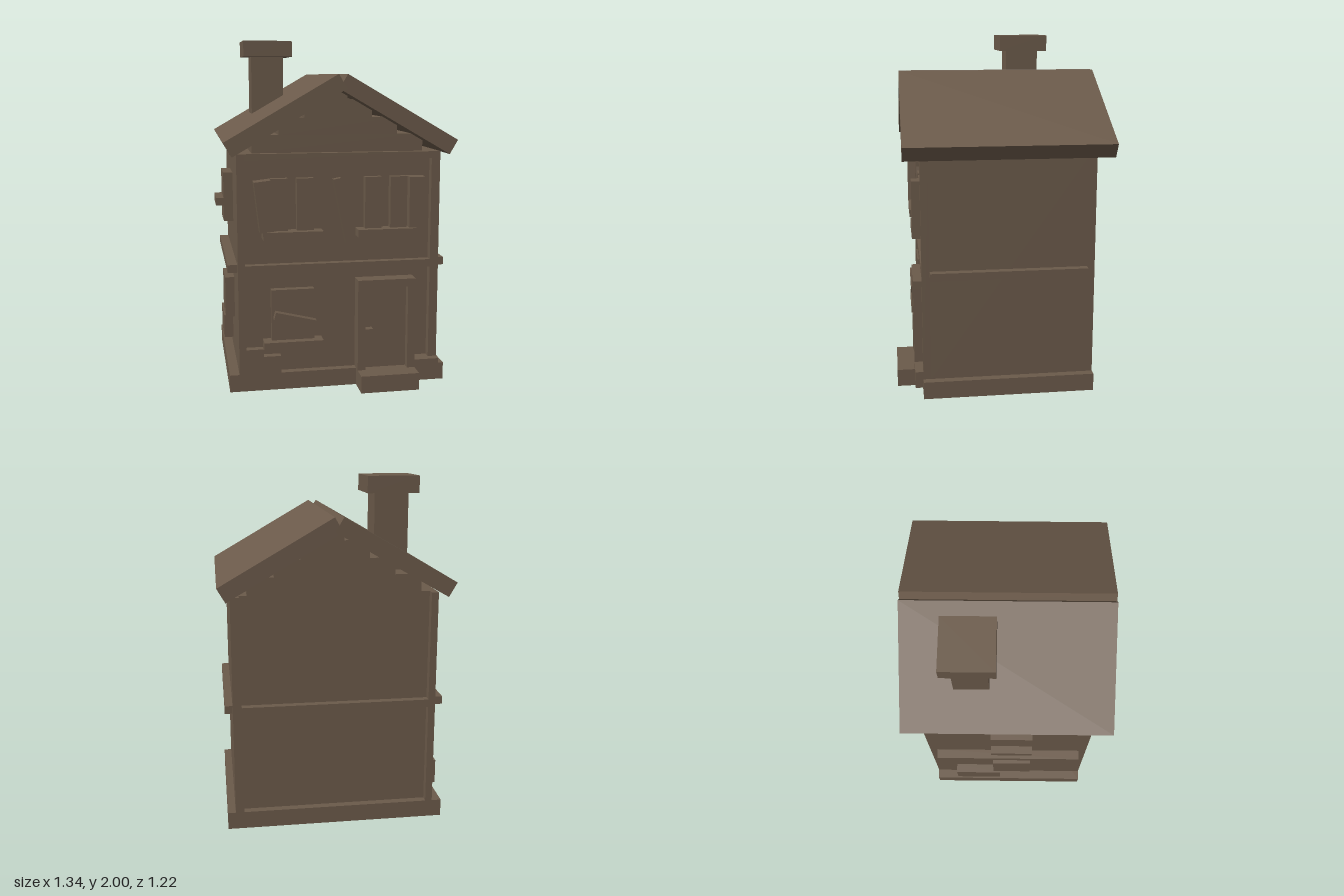
import * as THREE from 'three';

export function createModel() {
  const house = new THREE.Group();
  house.name = 'house';
  const brown = new THREE.MeshStandardMaterial({ color: 0x6b5a4a });
  brown.name = 'weathered brown';

  // Box from its extents on each axis, optionally turned about z
  function block(name, x0, x1, y0, y1, z0, z1, turn = 0) {
    const mesh = new THREE.Mesh(new THREE.BoxGeometry(x1 - x0, y1 - y0, z1 - z0), brown);
    mesh.position.set((x0 + x1) / 2, (y0 + y1) / 2, (z0 + z1) / 2);
    mesh.rotation.z = turn;
    mesh.name = name;
    house.add(mesh);
    return mesh;
  }

  const L = -0.57, R = 0.595, F = 0.465, B = -0.51; // timber frame
  const WF = 0.42, WB = -0.465; // recessed wall planes
  const OUT = 0.51; // raised trim

  // Plinth, doorstep and walls
  block('plinth', -0.625, 0.64, 0, 0.1, B, F);
  block('doorstep', 0.11, 0.45, 0, 0.1, F, 0.61);
  block('walls', L, R, 0.1, 1.365, WB, WF);

  // Stepped gable under the roof
  [[0.49, 1.365, 1.465], [0.34, 1.465, 1.56], [0.193, 1.56, 1.66], [0.05, 1.66, 1.74]]
    .forEach(([w, y0, y1]) => block('gableStep', 0.01 - w, 0.01 + w, y0, y1, WB, WF));

  // Timber frame on front and back
  for (const [z0, z1] of [[WF, F], [B, WB]]) {
    block('cornerPost', L, -0.53, 0.1, 1.365, z0, z1);
    block('cornerPost', 0.545, R, 0.1, 1.365, z0, z1);
    block('floorBeam', -0.53, 0.545, 0.69, 0.735, z0, z1);
  }
  block('topBeam', -0.53, 0.545, 1.325, 1.365, WF, F);
  block('sideBeam', -0.625, L, 0.69, 0.735, WB, WF);
  block('sideBeam', R, 0.64, 0.69, 0.735, WB, WF);

  // Two roof slabs leaning together at the ridge
  for (const s of [-1, 1]) {
    const slab = block('roofSlab', -0.364, 0.364, -0.046, 0.046, -0.583, 0.583, -s * Math.PI / 6);
    slab.position.set(0.01 + s * 0.317, 1.578, -0.024);
  }

  // Chimney
  block('chimneyStack', -0.43, -0.235, 1.38, 1.905, -0.315, -0.12);
  block('chimneyCap', -0.48, -0.185, 1.905, 2, -0.365, -0.075);

  // Upper front windows: two panes, a sill and one shutter each
  for (const x of [-0.26, 0.28]) {
    block('windowPane', x - 0.123, x - 0.025, 0.93, 1.225, WF, F);
    block('windowPane', x + 0.025, x + 0.123, 0.93, 1.225, WF, F);
    block('windowSill', x - 0.17, x + 0.17, 0.885, 0.93, WF, OUT);
  }
  block('hangingShutter', -0.463, -0.37, 0.932, 1.218, WF, OUT, 0.11);
  block('shutter', 0.405, 0.5, 0.935, 1.225, WF, OUT);
  block('loosePlank', 0.01, 0.055, 0.845, 1.222, WF, F, 0.2);

  // Lower front window with a crooked board
  block('lowerWindow', -0.383, -0.137, 0.295, 0.59, WF, F);
  block('windowSill', -0.43, -0.09, 0.25, 0.295, WF, OUT);
  block('crookedBoard', -0.372, -0.132, 0.398, 0.443, F, OUT, -0.24);

  // Door and frame
  block('door', 0.155, 0.405, 0.1, 0.59, WF, F);
  block('doorJamb', 0.11, 0.155, 0.1, 0.59, WF, OUT);
  block('doorJamb', 0.405, 0.45, 0.1, 0.59, WF, OUT);
  block('doorLintel', 0.11, 0.45, 0.59, 0.635, WF, OUT);
  block('doorHandle', 0.155, 0.2, 0.295, 0.345, F, OUT);

  // Foundation stones on the front
  block('cornerStone', -0.53, -0.43, 0.1, 0.245, WF, F);
  block('cornerStone', -0.43, -0.33, 0.1, 0.2, WF, F);
  block('cornerStone', 0.45, R, 0.05, 0.145, WF, OUT);

  // Right side windows and stone
  block('sideWindow', -0.625, L, 0.935, 1.225, -0.12, 0.12);
  block('sideWindowBoard', -0.67, -0.625, 1.03, 1.075, -0.12, 0.12);
  block('sideWindow', -0.625, L, 0.345, 0.59, -0.12, 0.12);
  block('sideStone', -0.625, L, 0.15, 0.295, -0.37, -0.08);

  return house;
}
